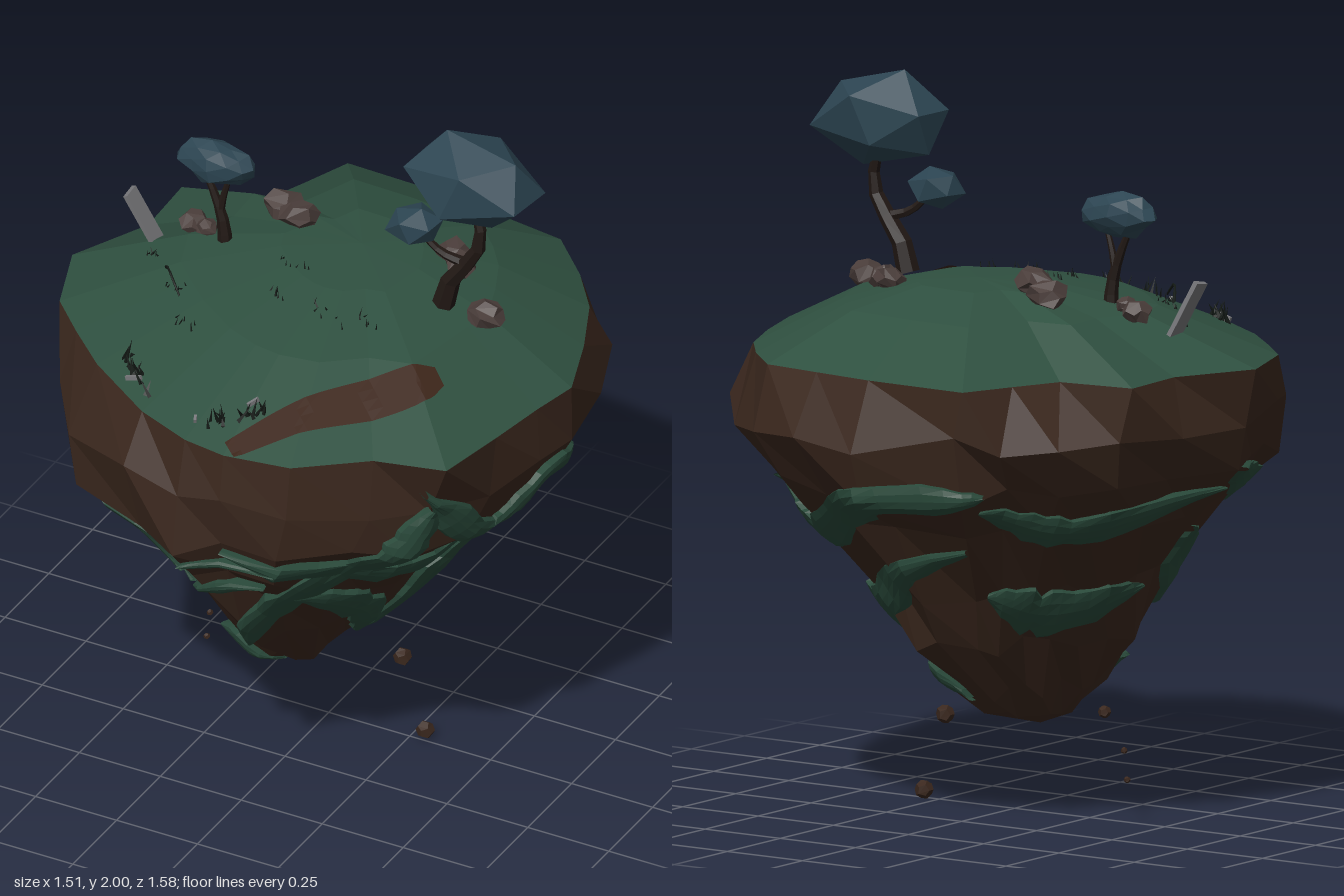
import * as THREE from 'three';

const V = (x, y, z) => new THREE.Vector3(x, y, z);
const mat = (color, side = THREE.FrontSide) =>
  new THREE.MeshStandardMaterial({ color, flatShading: true, side });
const MOSS = mat(0x2f5040), LEDGE = mat(0x29493a, THREE.DoubleSide), DIRT = mat(0x3a271d),
  TRACK = mat(0x3c251a, THREE.DoubleSide), LEAF = mat(0x2c4552), BARK = mat(0x211814),
  ROCK = mat(0x4a3d3a), GRASS = mat(0x141a16), STEEL = mat(0x77777a);

// Repeatable noise in -1..1
const noise = (a, b, c = 0) => {
  const s = Math.sin(a * 127.1 + b * 311.7 + c * 74.7) * 43758.5453;
  return (s - Math.floor(s)) * 2 - 1;
};

// Grassy rim (x, z), from the back round by +x
const RIM = [[0, -.69], [.19, -.665], [.37, -.64], [.5, -.51], [.6, -.38], [.68, -.2], [.75, 0], [.72, .14],
  [.69, .32], [.65, .53], [.45, .58], [.27, .72], [.08, .75], [-.05, .73], [-.22, .66], [-.44, .51],
  [-.57, .39], [-.68, .28], [-.76, .06], [-.65, -.17], [-.66, -.38], [-.44, -.41], [-.38, -.55], [-.32, -.7]];
const N = RIM.length;

// Cliff levels: y, then reach to -x, +x, -z, +z; each is a rough four-quarter ellipse
const LEVELS = [[1.12, .72, .75, .79, .78], [.97, .67, .65, .7, .77], [.85, .53, .53, .59, .69],
  [.65, .37, .37, .43, .55], [.5, .29, .25, .38, .43], [.36, .21, .13, .24, .3], [.28, .15, .03, .13, .16]];
const cliff = [RIM.map(([x, z]) => V(x, 1.28, z))];
LEVELS.forEach(([y, l, r, b, f], j) => cliff.push(RIM.map(([x, z], i) => {
  const a = Math.atan2(z, x), c = Math.cos(a), s = Math.sin(a), k = 1 + (j ? .055 : .02) * noise(i, j);
  return V(k * c * (c < 0 ? l : r), y + (j < 6 ? .035 : .01) * noise(j, i, 3), k * s * (s < 0 ? b : f));
})));
const tip = RIM.map(() => V(-.1, .25, -.02));

// Turf: shrinking copies of the rim climbing to a plateau
const CX = .05, CZ = -.1, HILL = [[0, 1.475], [.27, 1.465], [.6, 1.41], [1, 1.28]];
const turf = HILL.map(([t, y]) => RIM.map(([x, z]) => V(CX + (x - CX) * t, y, CZ + (z - CZ) * t)));

// Height of the turf at x, z
function ground(x, z) {
  const px = x - CX, pz = z - CZ;
  let t = 1;
  for (let i = 0; i < N; i++) {
    const ax = RIM[i][0] - CX, az = RIM[i][1] - CZ;
    const bx = RIM[(i + 1) % N][0] - CX, bz = RIM[(i + 1) % N][1] - CZ;
    const d = ax * bz - az * bx, a = (px * bz - pz * bx) / d, b = (ax * pz - az * px) / d;
    if (a >= -1e-6 && b >= -1e-6) { t = Math.min(1, a + b); break; }
  }
  const k = t < .27 ? 0 : t < .6 ? 1 : 2, [t0, y0] = HILL[k], [t1, y1] = HILL[k + 1];
  return y0 + (y1 - y0) * (t - t0) / (t1 - t0);
}

// Joins rows of points into a surface
function loft(rows, closed) {
  const n = rows[0].length, idx = [];
  for (let j = 0; j + 1 < rows.length; j++)
    for (let i = 0; i < (closed ? n : n - 1); i++) {
      const a = j * n + i, b = j * n + (i + 1) % n;
      idx.push(b, b + n, a + n, b, a + n, a);
    }
  const g = new THREE.BufferGeometry().setFromPoints(rows.flat());
  g.setIndex(idx);
  g.computeVertexNormals();
  return g;
}

// Point on the cliff at column u and height y, pushed out by lift
function onCliff(u, y, lift) {
  u = ((u % N) + N) % N;
  const i = Math.floor(u), col = cliff.map(r => r[i].clone().lerp(r[(i + 1) % N], u - i));
  let j = 0;
  while (j < col.length - 2 && col[j + 1].y > y) j++;
  const p = col[j].lerp(col[j + 1], THREE.MathUtils.clamp((col[j].y - y) / (col[j].y - col[j + 1].y), 0, 1));
  const k = 1 + lift / (Math.hypot(p.x, p.z) || 1);
  return V(p.x * k, p.y, p.z * k);
}

// Moss ledge of a half width, following a path of [column, y]
function mossBand(half, path) {
  const U = .15, c = new THREE.CatmullRomCurve3(path.map(([u, y]) => V(u * U, y, 0)));
  const n = (path.length - 1) * 7, rows = [];
  for (let s = 0; s <= n; s++) {
    const p = c.getPoint(s / n), t = c.getTangent(s / n);
    const w = half * Math.min(1, .15 + Math.min(s, n - s) / 4) * (1 + .2 * noise(s, half));
    rows.push([-1, -.8, -.4, 0, .4, .8, 1].map(v => onCliff((p.x - t.y * w * v) / U, p.y + t.x * w * v,
      Math.abs(v) === 1 ? -.02 : .03 - .018 * v * v)));
  }
  return loft(rows, false);
}

// Faceted lump fitted into a box
function lump(geo, size, jitter, seed, tilt = 0) {
  const p = geo.attributes.position, v = V(0, 0, 0);
  for (let i = 0; i < p.count; i++) {
    v.fromBufferAttribute(p, i);
    const q = v.toArray().map(a => Math.round(a * 1000) / 1000 + 0);
    v.multiplyScalar(1 + jitter * noise(q[0] + seed, q[1], q[2]));
    p.setXYZ(i, v.x, v.y, v.z);
  }
  geo.rotateZ(tilt);
  geo.center();
  const b = geo.boundingBox.getSize(V(0, 0, 0));
  geo.scale(size[0] / b.x, size[1] / b.y, size[2] / b.z);
  geo.computeVertexNormals();
  return geo;
}

// Tapered six-sided limb along a few points
function limb(points, r0, r1) {
  const c = new THREE.CatmullRomCurve3(points.map(p => V(...p))), n = 5, rows = [], e = V(0, 0, 1);
  for (let s = n; s >= 0; s--) {
    const p = c.getPoint(s / n), r = r0 + (r1 - r0) * s / n, f = c.getTangent(s / n).cross(e).normalize();
    rows.push([0, 1, 2, 3, 4, 5].map(i => p.clone().addScaledVector(f, r * Math.sin(i * Math.PI / 3))
      .addScaledVector(e, -r * Math.cos(i * Math.PI / 3))));
  }
  return loft(rows, true);
}

export function createModel() {
  const root = new THREE.Group();
  root.name = 'floatingIsland';
  const add = (name, geo, m, pos = [0, 0, 0], parent = root) => {
    const o = new THREE.Mesh(geo, m);
    o.name = name;
    o.position.set(...pos);
    parent.add(o);
    return o;
  };
  const group = name => { const g = new THREE.Group(); g.name = name; root.add(g); return g; };

  // Island body
  add('turf', loft(turf, true), MOSS);
  add('cliff', loft([...cliff, tip], true), DIRT);

  // Moss on the cliff
  const moss = group('moss');
  const band = (half, ...path) => add('mossBand', mossBand(half, path), LEDGE, [0, 0, 0], moss);
  // +x side
  band(.045, [9.2, 1.18], [7.6, .94], [6.6, 1.05], [5.2, .99]);
  band(.05, [12, .96], [8.5, .8], [7, .77], [3.6, .93]);
  band(.07, [10.7, .74], [8.5, .56], [7.8, .4]);
  band(.12, [5.4, .82], [6, .58], [6.5, .32]);
  // Front
  band(.05, [17.6, .98], [15, .85], [13.8, .77]);
  band(.03, [13.3, .76], [11.2, .83]);
  band(.025, [13, .9], [11, .91]);
  band(.065, [13, .45], [11, .7], [9.3, .95], [9, 1.12]);
  band(.045, [15, .4], [12.6, .31]);
  band(.065, [17, .78], [15.3, .55]);
  // Back and -x side
  band(.05, [4, .9], [2.5, .8], [0, .95], [-1.5, .98]);
  band(.06, [4, .62], [2.6, .58], [-1, .8]);
  band(.045, [3, .42], [0, .33]);
  band(.05, [22.6, .93], [20.6, .86], [18, .94]);
  band(.07, [22.5, .66], [20.5, .6], [17.8, .64]);

  // Bare path draped over the turf, its width kept in y
  const track = new THREE.CatmullRomCurve3([V(.09, .03, .735), V(.22, .05, .57), V(.45, .06, .33), V(.485, .03, .265)]);
  add('path', loft(track.getPoints(24).map(p => [-1, -.5, 0, .5, 1].map(v => {
    const x = p.x + v * p.y * .8, z = p.z + v * p.y * .6;
    return V(x, ground(x, z) + .008, z);
  })), false), TRACK);

  // Trees
  const big = group('largeTree'), small = group('smallTree');
  const ico = d => new THREE.IcosahedronGeometry(1, d), dod = () => new THREE.DodecahedronGeometry(1);
  const wood = (name, tree, r0, r1, ...pts) => add(name, limb(pts, r0, r1), BARK, [0, 0, 0], tree);
  wood('trunk', big, .032, .012, [.36, 1.44, .01], [.39, 1.54, .01], [.455, 1.62, .01], [.475, 1.69, .01], [.45, 1.79, 0]);
  wood('branch', big, .016, .008, [.425, 1.59, .01], [.36, 1.61, .02], [.29, 1.67, .03]);
  add('canopy', lump(ico(0), [.36, .275, .245], .1, 2, -.25), LEAF, [.45, 1.8625, .005], big);
  add('lowerCanopy', lump(ico(0), [.14, .115, .13], .12, 5, .3), LEAF, [.28, 1.68, .03], big);
  wood('trunk', small, .022, .008, [-.32, 1.41, 0], [-.325, 1.48, 0], [-.345, 1.55, 0], [-.385, 1.64, 0]);
  wood('branch', small, .012, .007, [-.335, 1.52, 0], [-.325, 1.57, 0], [-.305, 1.64, 0]);
  add('canopy', lump(ico(1), [.235, .13, .12], .12, 4, .1), LEAF, [-.35, 1.675, 0], small);

  // Rocks: x, z, size
  const rocks = group('rocks');
  [[-.235, -.18, .1], [-.165, -.13, .1], [-.44, -.05, .08], [-.39, -.03, .06], [.28, -.2, .08],
    [.32, -.155, .085], [.48, -.01, .1]].forEach(([x, z, s], i) =>
    add('rock', lump(dod(), [s * 1.1, s * .85, s], .2, i, i), ROCK, [x, ground(x, z) + s * .25, z], rocks));

  // Blade stuck in the turf
  add('blade', new THREE.BoxGeometry(.014, .19, .05), STEEL, [-.565, 1.425, .005]).rotation.set(.15, 0, .45);

  // Grass: tufts of count blades of height h, scattered along a slanting strip
  const grass = group('grass');
  const tuft = (x, z, count, h, spread, slant) => {
    for (let i = 0; i < count; i++) {
      const a = noise(i, x), px = x + spread * a, pz = z + slant * a + .015 * noise(i, z, 4);
      const hh = h * (1 + .5 * noise(x, i, 2));
      add('grassBlade', new THREE.ConeGeometry(h * .14, hh, 3), GRASS, [px, ground(px, pz) + hh * .35, pz], grass)
        .rotation.set(.6 * noise(i, 1, x), i, .7 * noise(i, 2, x));
    }
  };
  tuft(-.3, .54, 18, .05, .07, .06);
  tuft(.04, .64, 20, .05, .09, -.05);
  [[-.5, .09], [-.07, .07], [.12, .23], [-.25, .36], [-.03, .2], [.25, .2], [-.36, .22]]
    .forEach(([x, z]) => tuft(x, z, 7, .023, .06, .02));
  add('fern', limb([[-.41, 1.41, .17], [-.37, 1.45, .23], [-.31, 1.41, .28]], .006, .003), GRASS, [0, 0, 0], grass);

  // Pale splinters among the grass
  [[-.3, .56, .05], [.08, .58, .035], [-.05, .67, .02]].forEach(([x, z, l], i) =>
    add('splinter', new THREE.BoxGeometry(l, .012, .008), STEEL, [x, ground(x, z) + .012, z]).rotation.set(0, i, .3));

  // Crumbs falling below: x, y, radius
  const crumbs = group('fallingStones');
  [[-.31, .3, .017], [-.375, .2, .009], [-.385, .12, .009], [.22, .24, .025], [.29, .025, .025]].forEach(([x, y, r]) =>
    add('stone', lump(dod(), [2 * r, 2 * r, 2 * r], .04, x), DIRT, [x, y, -.015], crumbs));
  return root;
}
